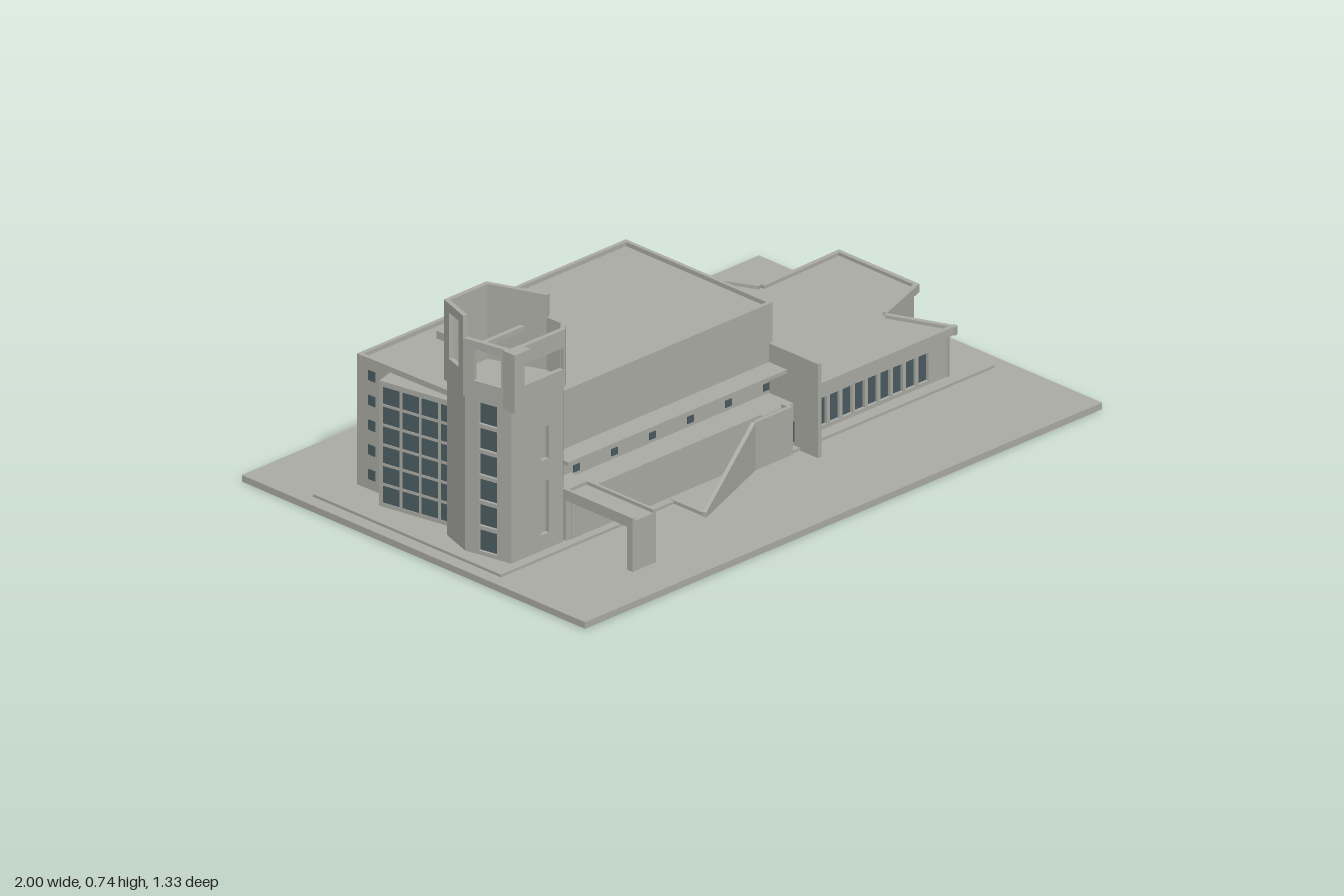
import * as THREE from 'three';

const concrete = new THREE.MeshStandardMaterial({ color: 0xababa5 });
concrete.name = 'concrete';
const glass = new THREE.MeshStandardMaterial({ color: 0x4a5b61 });
glass.name = 'dark glass';

export function createModel() {
  const model = new THREE.Group();
  model.name = 'church';

  const add = (name, geo, mat = concrete) => {
    const m = new THREE.Mesh(geo, mat);
    m.name = name;
    model.add(m);
    return m;
  };
  // Box given by its extents
  const box = (name, x0, x1, y0, y1, z0, z1, mat) =>
    add(name, new THREE.BoxGeometry(x1 - x0, y1 - y0, z1 - z0)
      .translate((x0 + x1) / 2, (y0 + y1) / 2, (z0 + z1) / 2), mat);
  // Solid with a floor plan of [x, z] points
  const prism = (name, plan, y0, y1, mat) => {
    const s = new THREE.Shape(plan.map(([x, z]) => new THREE.Vector2(x, -z)));
    return add(name, new THREE.ExtrudeGeometry(s, { depth: y1 - y0, bevelEnabled: false })
      .rotateX(-Math.PI / 2).translate(0, y0, 0), mat);
  };
  // Outline in the x-y plane, extruded along z from z0 to z1
  const profile = (name, pts, z0, z1) => add(name, new THREE.ExtrudeGeometry(
    new THREE.Shape(pts.map(p => new THREE.Vector2(...p))),
    { depth: z1 - z0, bevelEnabled: false }).translate(0, 0, z0));
  // Wall from p to q with outer face on that line; top may slope; holes are [u0, u1, y0, y1]
  const wall = (name, p, q, y0, y1, t = 0.012, holes = [], mat = concrete, yq = y1) => {
    const dx = q[0] - p[0], dz = q[1] - p[1], L = Math.hypot(dx, dz);
    const s = new THREE.Shape([[0, y0], [L, y0], [L, yq], [0, y1]].map(a => new THREE.Vector2(...a)));
    for (const [a, b, c, d] of holes)
      s.holes.push(new THREE.Path([[a, c], [a, d], [b, d], [b, c]].map(v => new THREE.Vector2(...v))));
    const g = new THREE.ExtrudeGeometry(s, { depth: t, bevelEnabled: false }).translate(0, 0, -t);
    return add(name, g.rotateY(Math.atan2(-dz, dx)).translate(p[0], 0, p[1]), mat);
  };
  // Walls round a plan; holes are listed by side number
  const ring = (name, plan, y0, y1, t, holes = {}) => plan.forEach((p, i) =>
    wall(name, p, plan[(i + 1) % plan.length], y0, y1, t, holes[i]));
  // Mitred inward offset of a plan
  const inset = (plan, d) => plan.map((p, i) => {
    const n = plan.length, a = plan[(i + n - 1) % n], b = plan[(i + 1) % n];
    const normal = (u, v) => {
      const l = Math.hypot(v[0] - u[0], v[1] - u[1]);
      return [(v[1] - u[1]) / l, -(v[0] - u[0]) / l];
    };
    const m = normal(a, p), k = normal(p, b), f = d / (1 + m[0] * k[0] + m[1] * k[1]);
    return [p[0] + (m[0] + k[0]) * f, p[1] + (m[1] + k[1]) * f];
  });
  const row = (n, start, step, w, y0, y1) =>
    Array.from({ length: n }, (_, i) => [start + i * step, start + i * step + w, y0, y1]);

  // Ground and terrace
  box('ground', -1, 1, 0, 0.02, -0.667, 0.667);
  box('terrace', -0.96, 0.95, 0.02, 0.028, -0.43, 0.3);

  // Nave with roof parapet
  const nave = [[-0.66, 0.18], [0.21, 0.18], [0.21, -0.39], [-0.83, -0.39], [-0.82, 0.02], [-0.73, 0.02]];
  prism('nave', nave, 0.02, 0.412);
  ring('naveParapet', nave, 0.41, 0.425, 0.012);
  for (const z of [-0.31, 0.1]) box('roofVent', -0.588, -0.562, 0.412, 0.435, z - 0.014, z + 0.014);

  // Clerestory slots, front and back
  for (let i = 0; i < 6; i++) {
    const x = -0.55 + i * 0.147;
    box('frontSlot', x - 0.012, x + 0.012, 0.166, 0.187, 0.178, 0.183, glass);
  }
  for (let i = 0; i < 8; i++) {
    const x = 0.15 - i * 0.097;
    box('backSlot', x - 0.025, x + 0.025, 0.175, 0.195, -0.393, -0.388, glass);
    box('backSlotSill', x - 0.029, x + 0.029, 0.17, 0.175, -0.399, -0.388);
  }
  for (let i = 0; i < 5; i++)
    box('westSlot', -0.832, -0.822, 0.06 + i * 0.075, 0.09 + i * 0.075, -0.345, -0.32, glass);

  // Angled glazed bay on the west side
  const bayA = [-0.88, -0.25], bayB = [-0.83, 0.02];
  prism('westBay', [[-0.81, -0.27], bayA, bayB, [-0.8, 0.02]], 0.02, 0.408);
  wall('bayGlass', [-0.881, -0.245], [-0.833, 0.015], 0.04, 0.39, 0.004, [], glass);
  wall('bayGrid', [-0.884, -0.25], [-0.834, 0.02], 0.028, 0.408, 0.006,
    Array.from({ length: 24 }, (_, i) => {
      const u = 0.012 + (i % 4) * 0.064, v = 0.04 + Math.floor(i / 4) * 0.06;
      return [u, u + 0.056, v, v + 0.052];
    }));

  // Side aisle, canopy and fin wall
  box('aisle', -0.66, 0.2, 0.02, 0.155, 0.17, 0.275);
  box('aisleParapet', -0.65, 0.07, 0.15, 0.165, 0.265, 0.28);
  box('canopy', -0.65, 0.25, 0.237, 0.248, 0.17, 0.25);
  box('finWall', 0.196, 0.21, 0.02, 0.305, 0.17, 0.37);
  box('sideDoor', 0.165, 0.196, 0.04, 0.1, 0.274, 0.279, glass);

  // Ramp with sloping side wall
  prism('rampFloor', [[-0.29, 0.28], [-0.29, 0.42], [0.02, 0.3], [0.02, 0.28]], 0.02, 0.03);
  wall('rampWall', [-0.29, 0.425], [0.02, 0.305], 0.02, 0.035, 0.012, [], concrete, 0.165);
  wall('rampWallEnd', [0.02, 0.305], [0.165, 0.305], 0.02, 0.165);
  box('rampReturn', 0.153, 0.165, 0.02, 0.165, 0.27, 0.305);

  // Entrance porch
  box('porchRoof', -0.68, -0.59, 0.15, 0.172, 0.26, 0.53);
  box('porchLeg', -0.68, -0.59, 0.02, 0.172, 0.508, 0.53);
  for (const x of [-0.68, -0.6]) box('porchUpstand', x, x + 0.01, 0.17, 0.182, 0.26, 0.53);
  box('porchBack', -0.68, -0.59, 0.02, 0.182, 0.2, 0.272);

  // Bell tower shaft, with recessed slots
  const shaft = [[-0.89, 0.27], [-0.69, 0.27], [-0.664, 0.245], [-0.664, 0.185],
    [-0.73, 0.015], [-0.885, 0.015], [-0.92, 0.12]];
  prism('towerCore', inset(shaft, 0.012), 0.02, 0.51);
  const slits = [];
  for (let i = 0; i < 6; i++) slits.push([0.045, 0.105, 0.04 + i * 0.077, 0.105 + i * 0.077]);
  ring('towerWall', shaft, 0.02, 0.505, 0.0125, {
    0: [[0.115, 0.145, 0.075, 0.235], [0.115, 0.145, 0.3, 0.4]], 6: slits });
  wall('towerGlass', [-0.911, 0.12], [-0.882, 0.27], 0.03, 0.5, 0.004, [], glass);

  // Open belfry
  const head = inset(shaft, -0.007);
  const belfryTops = [0.675, 0.675, 0.675, 0.742, 0.742, 0.742, 0.675];
  const belfryHoles = { 0: [[0.05, 0.2, 0.555, 0.62]], 5: [[0.03, 0.09, 0.575, 0.715]],
    6: [[0.035, 0.125, 0.555, 0.65]] };
  head.forEach((p, i) => wall('belfryWall', p, head[(i + 1) % 7], 0.5, belfryTops[i], 0.014, belfryHoles[i]));
  prism('belfryFloor', inset(head, 0.005), 0.5, 0.515);
  box('belfryBeam', -0.91, -0.685, 0.62, 0.636, 0.112, 0.126);
  box('belfryFin', -0.912, -0.9, 0.5, 0.678, 0.26, 0.305);
  box('belfryBracket', -0.912, -0.85, 0.66, 0.678, 0.265, 0.305);

  // Low parish hall with overhanging fascia
  const hall = [[0.2, 0.273], [0.832, 0.273], [0.752, 0.08], [0.947, 0.01],
    [0.947, -0.303], [0.637, -0.295], [0.59, -0.395], [0.2, -0.395]];
  const hallWall = inset(hall, 0.012);
  prism('hallCore', inset(hallWall, 0.012), 0.02, 0.16);
  ring('hallWall', hallWall, 0.02, 0.16, 0.013, {
    0: row(9, 0.09, 0.049, 0.038, 0.04, 0.125),
    3: row(7, 0.024, 0.039, 0.021, 0.04, 0.125) });
  box('hallWindows', 0.295, 0.745, 0.038, 0.127, 0.244, 0.252, glass);
  prism('hallRoof', inset(hall, 0.003), 0.155, 0.168);
  ring('hallFascia', hall, 0.153, 0.178, 0.014);

  // Outside stair behind the hall
  const steps = [[0.63, 0.02], [0.91, 0.02]];
  for (let i = 0; i < 12; i++) {
    const x = 0.91 - i * 0.0233, y = 0.031 + i * 0.0108;
    steps.push([x, y], [x - 0.0233, y]);
  }
  profile('backStair', steps, -0.335, -0.28);
  profile('stairWall', [[0.63, 0.02], [0.91, 0.02], [0.91, 0.04], [0.63, 0.165]], -0.342, -0.334);

  // Raised chancel box with cross
  box('chancelBox', 0.2, 0.283, 0.16, 0.312, -0.28, 0.1);
  box('crossUpright', 0.282, 0.289, 0.228, 0.302, -0.101, -0.089);
  box('crossArm', 0.282, 0.289, 0.265, 0.278, -0.126, -0.064);

  return model;
}
